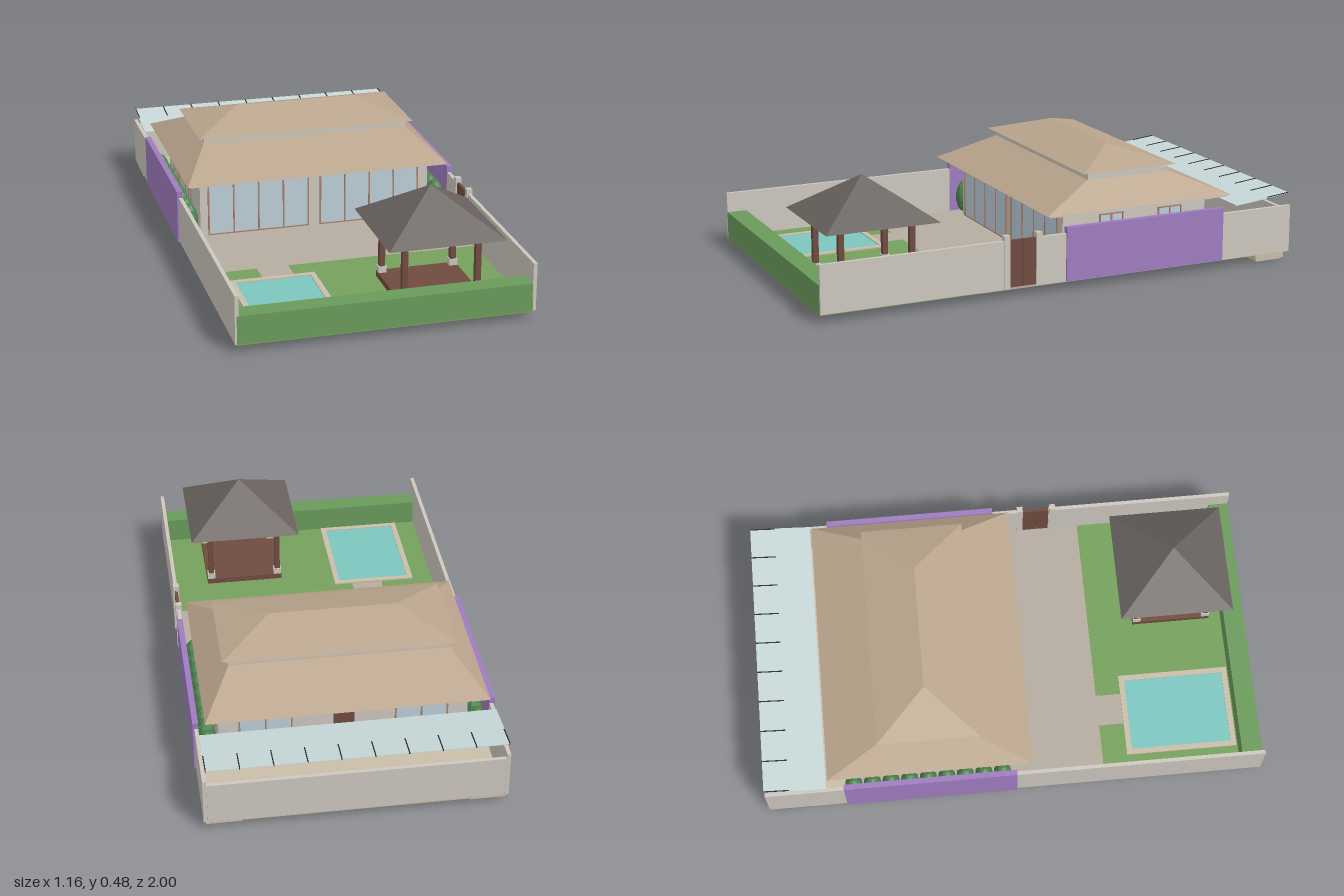
import * as THREE from 'three';

const mats = {};
const mat = (c, thin) => (mats[c + (thin ? 't' : '')] ??= new THREE.MeshStandardMaterial({
  color: c, flatShading: true, side: thin ? THREE.DoubleSide : THREE.FrontSide }));

const WALL = 0xccc7be, PURPLE = 0x9f7cc0, GRASS = 0x75a05c, HEDGE = 0x6a9a5b, WOOD = 0x6f4b3f,
  ROOF = 0xbaa58d, SLATE = 0x69625f, GLASS = 0xbccdd8, FRAME = 0xa97f68, PAVING = 0xb5aca0,
  STONE = 0xc9bda8, DARK = 0x2b2b2b;

export function createModel() {
  const root = new THREE.Group();
  const group = (name) => {
    const g = new THREE.Group();
    g.name = name;
    root.add(g);
    return g;
  };
  const add = (parent, name, geo, color, thin) => {
    const m = new THREE.Mesh(geo, mat(color, thin));
    m.name = name;
    parent.add(m);
    return m;
  };
  // Box given by its two corners
  const box = (parent, name, color, x0, x1, y0, y1, z0, z1) => {
    const m = add(parent, name, new THREE.BoxGeometry(x1 - x0, y1 - y0, z1 - z0), color);
    m.position.set((x0 + x1) / 2, (y0 + y1) / 2, (z0 + z1) / 2);
    return m;
  };
  // Hipped roof: eave rectangle, top rectangle (may be a ridge or a point), closed soffit
  const hip = (parent, name, color, cx, cz, y0, y1, w, d, tw, td) => {
    const ring = (a, b, y) => [[-a, y, b], [a, y, b], [a, y, -b], [-a, y, -b]];
    const lo = ring(w, d, y0), hi = ring(tw, td, y1), p = [];
    const quad = (a, b, c, e) => p.push(...a, ...b, ...c, ...a, ...c, ...e);
    for (let i = 0; i < 4; i++) {
      const j = (i + 1) % 4;
      quad(lo[i], lo[j], hi[j], hi[i]);
    }
    quad(hi[0], hi[1], hi[2], hi[3]);
    quad(lo[3], lo[2], lo[1], lo[0]);
    const geo = new THREE.BufferGeometry();
    geo.setAttribute('position', new THREE.Float32BufferAttribute(p, 3));
    geo.computeVertexNormals();
    add(parent, name, geo, color).position.set(cx, 0, cz);
  };

  // Ground: back yard, house terrace and lawn with a path notch
  const ground = group('ground');
  box(ground, 'backYard', STONE, -0.565, 0.565, 0.03, 0.038, -1, -0.69);
  box(ground, 'terrace', PAVING, -0.565, 0.565, 0.03, 0.039, -0.69, 0.37);
  box(ground, 'lawnBase', GRASS, -0.565, 0.565, 0.03, 0.036, 0.37, 1);
  box(ground, 'path', PAVING, -0.34, -0.21, 0.036, 0.039, 0.36, 0.47);
  box(ground, 'lawnLeft', GRASS, -0.21, 0.565, 0.036, 0.042, 0.365, 0.92);
  box(ground, 'lawnRight', GRASS, -0.565, -0.34, 0.036, 0.042, 0.365, 0.92);
  box(ground, 'lawnFront', GRASS, -0.34, -0.21, 0.036, 0.042, 0.47, 0.92);
  box(ground, 'frontHedge', HEDGE, -0.565, 0.56, 0.035, 0.145, 0.92, 1);
  for (const s of [-1, 1]) {
    box(ground, 'footingCap', STONE, s * 0.497 - 0.067, s * 0.497 + 0.067, 0.008, 0.03, -0.98, -0.85);
    box(ground, 'footing', STONE, s * 0.497 - 0.057, s * 0.497 + 0.057, 0, 0.008, -0.97, -0.86);
  }

  // Boundary walls with purple panels beside the house
  const walls = group('boundaryWalls');
  const sideWall = (a, b, z0, z1) => box(walls, 'sideWall', WALL, a, b, 0.035, 0.225, z0, z1);
  sideWall(-0.572, -0.557, 0, 1);
  sideWall(0.557, 0.572, 0.24, 1);
  sideWall(0.557, 0.572, 0, 0.13);
  for (const s of [-1, 1]) {
    sideWall(s * 0.565 - 0.0075, s * 0.565 + 0.0075, -1, -0.685);
    box(walls, 'purpleWall', PURPLE, s * 0.568 - 0.011, s * 0.568 + 0.011, 0.036, 0.25, -0.685, 0.005);
  }
  box(walls, 'backWall', WALL, -0.557, 0.557, 0.035, 0.205, -1, -0.985);

  // Gate
  const gate = group('gate');
  for (const z of [0.12, 0.255]) box(gate, 'gatePillar', WALL, 0.552, 0.576, 0.036, 0.245, z - 0.012, z + 0.012);
  for (const z of [0.132, 0.189]) box(gate, 'gateLeaf', WOOD, 0.558, 0.57, 0.04, 0.225, z, z + 0.055);

  // House body
  const house = group('house');
  box(house, 'houseWalls', WALL, -0.48, 0.48, 0.038, 0.275, -0.655, -0.025);
  for (const x of [-0.24, 0.24]) box(house, 'floorPlate', DARK, x - 0.237, x + 0.237, 0.028, 0.038, -0.655, -0.025);
  box(house, 'eaveBeam', WALL, -0.5, 0.5, 0.27, 0.28, -0.685, 0.005);
  box(house, 'eaveBand', WALL, -0.535, 0.53, 0.28, 0.29, -0.73, 0.055);
  hip(house, 'lowerRoof', ROOF, -0.005, -0.34, 0.288, 0.385, 0.541, 0.406, 0.428, 0.18);
  box(house, 'clerestory', WALL, -0.43, 0.425, 0.38, 0.416, -0.51, -0.16);
  hip(house, 'upperRoof', ROOF, -0.004, -0.335, 0.415, 0.48, 0.452, 0.204, 0.25, 0);

  // Glazing: panes and frame bars on a wall, u runs along the wall
  const glazing = (name, cx, cz, turn, width, y0, y1, panes) => {
    const g = group(name);
    g.position.set(cx, 0, cz);
    g.rotation.y = turn;
    const h = width / 2, t = 0.003;
    box(g, 'glass', GLASS, -h, h, y0, y1, -0.004, 0.003);
    for (let i = 0; i <= panes; i++) {
      const u = -h + (width * i) / panes;
      box(g, 'frameBar', FRAME, u - t, u + t, y0, y1, -0.004, 0.006);
    }
    for (const y of [y0, y1]) box(g, 'frameRail', FRAME, -h - t, h + t, y - t / 2, y + t, -0.004, 0.006);
  };
  for (const x of [-0.238, 0.229]) glazing('frontWindow', x, -0.025, 0, 0.415, 0.043, 0.253, 4);
  for (const s of [-1, 1])
    for (const z of [-0.235, -0.495]) glazing('sideWindow', s * 0.48, z, s * Math.PI / 2, 0.1, 0.12, 0.255, 2);
  for (const x of [-0.3, 0.3]) glazing('backWindow', x, -0.655, Math.PI, 0.2, 0.12, 0.253, 2);
  box(house, 'backDoor', WOOD, -0.04, 0.04, 0.04, 0.24, -0.66, -0.65);

  // Glass canopy over the back yard, with thin ribs at its outer edge
  const canopy = group('canopy');
  const slope = Math.atan2(0.026, 0.245);
  canopy.position.set(-0.003, 0.26, -0.877);
  canopy.rotation.x = slope;
  box(canopy, 'canopySheet', 0xc6d7d8, -0.565, 0.565, -0.0015, 0.0015, -0.123, 0.123);
  for (let i = 0; i < 10; i++) {
    const x = -0.562 + i * 0.1249;
    box(canopy, 'canopyRib', DARK, x - 0.002, x + 0.002, -0.003, 0.004, -0.123, -0.023);
  }

  // Rounded shrubs along both sides of the house
  const shrubs = group('shrubs');
  for (const s of [-1, 1])
    for (let i = 0; i < 9; i++) {
      const m = add(shrubs, 'shrub', new THREE.SphereGeometry(1, 9, 7), 0x4f8350);
      m.position.set(s * 0.522, 0.108, -0.05 - i * 0.075);
      m.scale.set(0.038, 0.07, 0.038);
    }

  // Pool: coping frame around the water
  const pool = group('pool');
  const frame = (x, z) => [[-x, -z], [x, -z], [x, z], [-x, z]].map((p) => new THREE.Vector2(...p));
  const rim = new THREE.Shape(frame(0.17, 0.225));
  rim.holes.push(new THREE.Path(frame(0.148, 0.203)));
  const coping = add(pool, 'poolCoping', new THREE.ExtrudeGeometry(rim, { depth: 0.012, bevelEnabled: false }), STONE);
  coping.rotation.x = -Math.PI / 2;
  coping.position.set(-0.305, 0.036, 0.69);
  box(pool, 'water', 0x7cc6bf, -0.453, -0.157, 0.036, 0.044, 0.487, 0.893);

  // Pavilion: deck, posts on stone bases, pyramid roof
  const pavilion = group('pavilion');
  const px = 0.248, pz = 0.71;
  box(pavilion, 'deck', WOOD, px - 0.16, px + 0.16, 0.036, 0.065, pz - 0.16, pz + 0.16);
  for (const sx of [-1, 1])
    for (const sz of [-1, 1]) {
      const x = px + sx * 0.143, z = pz + sz * 0.143;
      box(pavilion, 'postBase', WALL, x - 0.016, x + 0.016, 0.036, 0.09, z - 0.016, z + 0.016);
      box(pavilion, 'post', WOOD, x - 0.011, x + 0.011, 0.09, 0.302, z - 0.011, z + 0.011);
    }
  hip(pavilion, 'pavilionRoof', SLATE, px, pz, 0.3, 0.46, 0.228, 0.228, 0, 0);

  return root;
}
